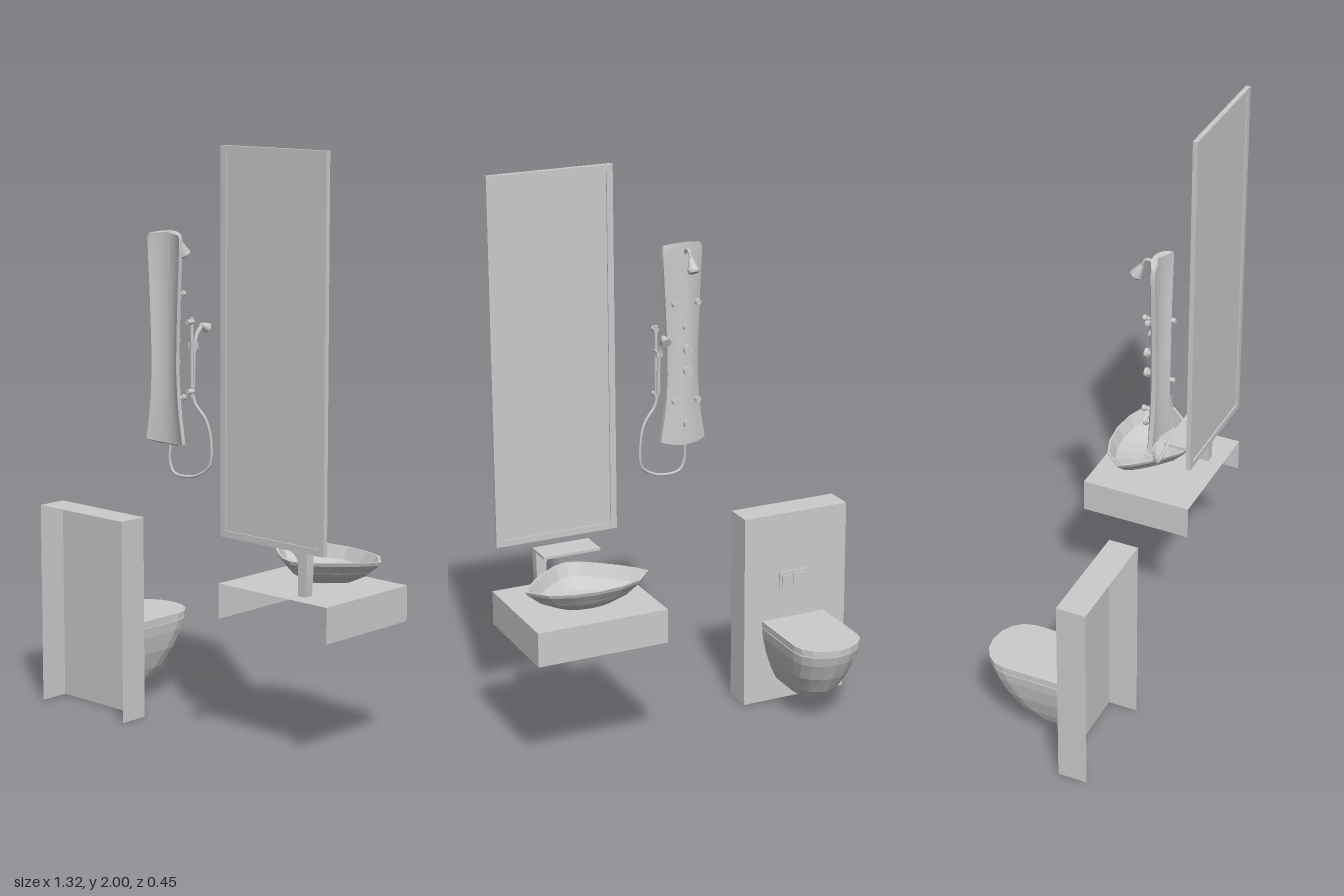
import * as THREE from 'three';
import { toCreasedNormals } from 'three/addons/utils/BufferGeometryUtils.js';

const grey = new THREE.MeshStandardMaterial({ color: 0xcccccc, side: THREE.DoubleSide });
const facet = new THREE.MeshStandardMaterial({ color: 0xcccccc, side: THREE.DoubleSide, flatShading: true });
const V = (x, y, z) => new THREE.Vector3(x, y, z);

function add(parent, name, geometry, material = grey) {
  const mesh = new THREE.Mesh(geometry, material);
  mesh.name = name;
  parent.add(mesh);
  return mesh;
}

function group(parent, name) {
  const g = new THREE.Group();
  g.name = name;
  parent.add(g);
  return g;
}

// box given by its limits on each axis
function box(x0, x1, y0, y1, z0, z1) {
  return new THREE.BoxGeometry(x1 - x0, y1 - y0, z1 - z0)
    .translate((x0 + x1) / 2, (y0 + y1) / 2, (z0 + z1) / 2);
}

// box without its bottom and wall-side (+z) faces
function openBox(...limits) {
  const g = box(...limits);
  const index = Array.from(g.index.array);
  g.setIndex(index.filter((_, i) => ![3, 4].includes(Math.floor(i / 6))));
  g.clearGroups();
  return g;
}

// skin over closed rings of equal length, counter-clockwise from above, with end caps
function loft(rings) {
  const n = rings[0].length;
  const centre = (r) => r.reduce((s, p) => s.add(p), V(0, 0, 0)).divideScalar(n);
  const pos = [], idx = [];
  rings.forEach((r) => r.forEach((p) => pos.push(p.x, p.y, p.z)));
  for (let i = 0; i < rings.length - 1; i++)
    for (let j = 0; j < n; j++) {
      const a = i * n + j, b = i * n + (j + 1) % n;
      idx.push(a, b, b + n, a, b + n, a + n);
    }
  [0, rings.length - 1].forEach((k) => {
    const c = centre(rings[k]), m = pos.length / 3;
    pos.push(c.x, c.y, c.z);
    for (let j = 0; j < n; j++) {
      const a = k * n + j, b = k * n + (j + 1) % n;
      idx.push(m, k ? a : b, k ? b : a);
    }
  });
  const g = new THREE.BufferGeometry();
  g.setAttribute('position', new THREE.Float32BufferAttribute(pos, 3));
  g.setIndex(idx);
  g.computeVertexNormals();
  return g;
}

// cylinder or cone between two points
function rod(a, b, ra, rb = ra, sides = 14) {
  const d = b.clone().sub(a);
  const g = new THREE.CylinderGeometry(rb, ra, d.length(), sides);
  g.applyQuaternion(new THREE.Quaternion().setFromUnitVectors(V(0, 1, 0), d.normalize()));
  const m = a.clone().add(b).multiplyScalar(0.5);
  return g.translate(m.x, m.y, m.z);
}

const tube = (pts, r, seg = 40) =>
  new THREE.TubeGeometry(new THREE.CatmullRomCurve3(pts.map((p) => V(...p))), seg, r, 8);

function toilet(root) {
  const g = group(root, 'toilet');
  add(g, 'cisternPanel', openBox(-0.66, -0.255, 0, 0.71, 0.12, 0.225));
  // D-shaped outline: flat against the panel, round at the tip
  const outline = (y, w, tip) => {
    const pts = [V(-0.45 - w, y, 0.12), V(-0.45 + w, y, 0.12)];
    for (let i = 0; i <= 8; i++) {
      const t = (i / 8) * Math.PI;
      pts.push(V(-0.45 + w * Math.cos(t), y, tip + 0.1 - 0.1 * Math.sin(t)));
    }
    return pts;
  };
  const rows = [[0.082, 0.065, -0.1], [0.122, 0.084, -0.14], [0.186, 0.106, -0.18],
    [0.25, 0.12, -0.21], [0.286, 0.124, -0.221]];
  add(g, 'bowl', loft(rows.map((r) => outline(...r))), facet);
  add(g, 'seatGap', loft([outline(0.286, 0.12, -0.216), outline(0.29, 0.12, -0.216)]), facet);
  add(g, 'lid', loft([outline(0.29, 0.125, -0.224), outline(0.313, 0.125, -0.225)]), facet);
  // flush plate with two buttons
  add(g, 'flushPlate', box(-0.505, -0.392, 0.425, 0.49, 0.114, 0.12));
  add(g, 'flushButtonLarge', box(-0.495, -0.447, 0.437, 0.478, 0.11, 0.114));
  add(g, 'flushButtonSmall', box(-0.442, -0.402, 0.437, 0.478, 0.11, 0.114));
}

function washstand(root) {
  const g = group(root, 'washstand');
  add(g, 'counter', openBox(0.19, 0.657, 0.45, 0.57, -0.187, 0.217));
  // basin: one egg-like outline scaled through the outer and inner profile
  const half = [[0, 0.13], [0.05, 0.112], [0.1, 0.074], [0.155, 0.025], [0.2, -0.025],
    [0.223, -0.062], [0.165, -0.128], [0.09, -0.155], [0, -0.165]];
  const outline = [...half, ...half.slice(1, -1).reverse().map(([x, z]) => [-x, z])];
  const profile = [[0.08, 0.573], [0.45, 0.582], [0.74, 0.613], [0.97, 0.655], [1, 0.667],
    [0.95, 0.667], [0.81, 0.625], [0.45, 0.598], [0.08, 0.588]];
  add(g, 'basin', loft(profile.map(([s, y]) =>
    outline.map(([x, z]) => V(0.425 + x * s, y, -0.035 + (z + 0.035) * s)))), facet);
  add(g, 'drain', rod(V(0.425, 0.555, -0.035), V(0.425, 0.592, -0.035), 0.025));
  // tap: flaring post and flat spout plate
  const post = new THREE.Shape();
  post.moveTo(0.492, 0.57);
  post.lineTo(0.522, 0.57);
  post.quadraticCurveTo(0.53, 0.65, 0.528, 0.722);
  post.lineTo(0.42, 0.722);
  post.quadraticCurveTo(0.495, 0.715, 0.492, 0.66);
  add(g, 'tapPost', new THREE.ExtrudeGeometry(post, { depth: 0.033, bevelEnabled: false }).translate(0, 0, 0.132));
  add(g, 'tapSpout', box(0.323, 0.528, 0.716, 0.725, 0.063, 0.165));
}

function mirror(root) {
  const g = group(root, 'mirror');
  const x0 = 0.2, x1 = 0.643, y0 = 0.73, y1 = 2, b = 0.022;
  const frame = new THREE.Shape([[x0, y0], [x1, y0], [x1, y1], [x0, y1]].map((p) => new THREE.Vector2(...p)));
  frame.holes.push(new THREE.Path([[x0 + b, y0 + b], [x0 + b, y1 - b], [x1 - b, y1 - b], [x1 - b, y0 + b]]
    .map((p) => new THREE.Vector2(...p))));
  add(g, 'mirrorFrame', new THREE.ExtrudeGeometry(frame, { depth: 0.017, bevelEnabled: false }).translate(0, 0, 0.2));
  add(g, 'mirrorGlass', box(x0 + b, x1 - b, y0 + b, y1 - b, 0.205, 0.212));
}

function shower(root) {
  const g = group(root, 'shower');
  const cx = -0.055;
  // bowed waisted panel: [height, half width, bulge of the end edge]
  const rows = [[1.012, 0.083, -0.012], [1.05, 0.077, -0.008], [1.1, 0.069, 0], [1.17, 0.061, 0],
    [1.25, 0.057, 0], [1.35, 0.058, 0], [1.5, 0.064, 0], [1.62, 0.07, 0], [1.685, 0.073, 0.006], [1.7, 0.068, 0.011]];
  const ring = ([y, w, bulge]) => {
    const pts = [];
    for (let i = 0; i <= 10; i++) pts.push([-1 + i / 5, 0.198]);
    for (let i = 10; i >= 0; i--) pts.push([-1 + i / 5, 0.182]);
    return pts.map(([t, z]) => V(cx + w * t, y + bulge * (1 - t * t), z + 0.022 * t * t));
  };
  add(g, 'showerPanel', toCreasedNormals(loft(rows.map(ring)), 0.6));
  add(g, 'backSlot', box(cx - 0.005, cx + 0.005, 1.58, 1.685, 0.194, 0.2));

  // body jets in pairs and larger control knobs on the centre line
  const knob = (name, x, y, r, z) => {
    add(g, name, rod(V(x, y, 0.195), V(x, y, z + 0.01), r * 0.6));
    add(g, name + 'Cap', rod(V(x, y, z + 0.012), V(x, y, z), r));
  };
  [1.505, 1.16].forEach((y) => [-1, 1].forEach((s) => knob('bodyJet', cx + s * 0.043, y, 0.01, 0.168)));
  knob('bodyJet', cx, 1.42, 0.011, 0.17);
  [1.345, 1.27, 1.08].forEach((y) => knob('controlKnob', cx, y, 0.016, 0.157));

  // overhead shower
  add(g, 'headArm', tube([[cx, 1.67, 0.19], [cx, 1.69, 0.175], [cx, 1.69, 0.155], [cx, 1.665, 0.14]], 0.006, 20));
  add(g, 'headBell', rod(V(cx, 1.668, 0.141), V(cx, 1.63, 0.121), 0.008, 0.021));
  add(g, 'headFace', rod(V(cx, 1.63, 0.121), V(cx, 1.623, 0.117), 0.021, 0.018));

  // hand shower on its rail
  const hx = 0.05;
  add(g, 'rail', rod(V(hx, 1.17, 0.195), V(hx, 1.435, 0.195), 0.006));
  [1.19, 1.42].forEach((y) => add(g, 'railMount', rod(V(hx, y, 0.19), V(hx, y, 0.217), 0.009)));
  add(g, 'handle', tube([[hx - 0.004, 1.2, 0.185], [hx - 0.004, 1.32, 0.18], [hx - 0.004, 1.375, 0.168], [hx - 0.004, 1.4, 0.145]], 0.007, 20));
  add(g, 'handHead', rod(V(hx - 0.004, 1.405, 0.148), V(hx - 0.004, 1.392, 0.118), 0.008, 0.017));
  add(g, 'handHolder', box(hx - 0.014, hx + 0.008, 1.33, 1.35, 0.172, 0.2));
  add(g, 'hose', tube([[hx - 0.003, 1.21, 0.188], [0.057, 1.155, 0.19], [0.1, 1.1, 0.182], [0.119, 1.03, 0.177],
    [0.113, 0.945, 0.18], [0.07, 0.912, 0.187], [0.02, 0.9, 0.19], [-0.035, 0.907, 0.193],
    [-0.054, 0.94, 0.193], [cx, 1.01, 0.19]], 0.005, 60));
}

export function createModel() {
  const root = new THREE.Group();
  root.name = 'bathroomSet';
  toilet(root);
  washstand(root);
  mirror(root);
  shower(root);
  return root;
}
